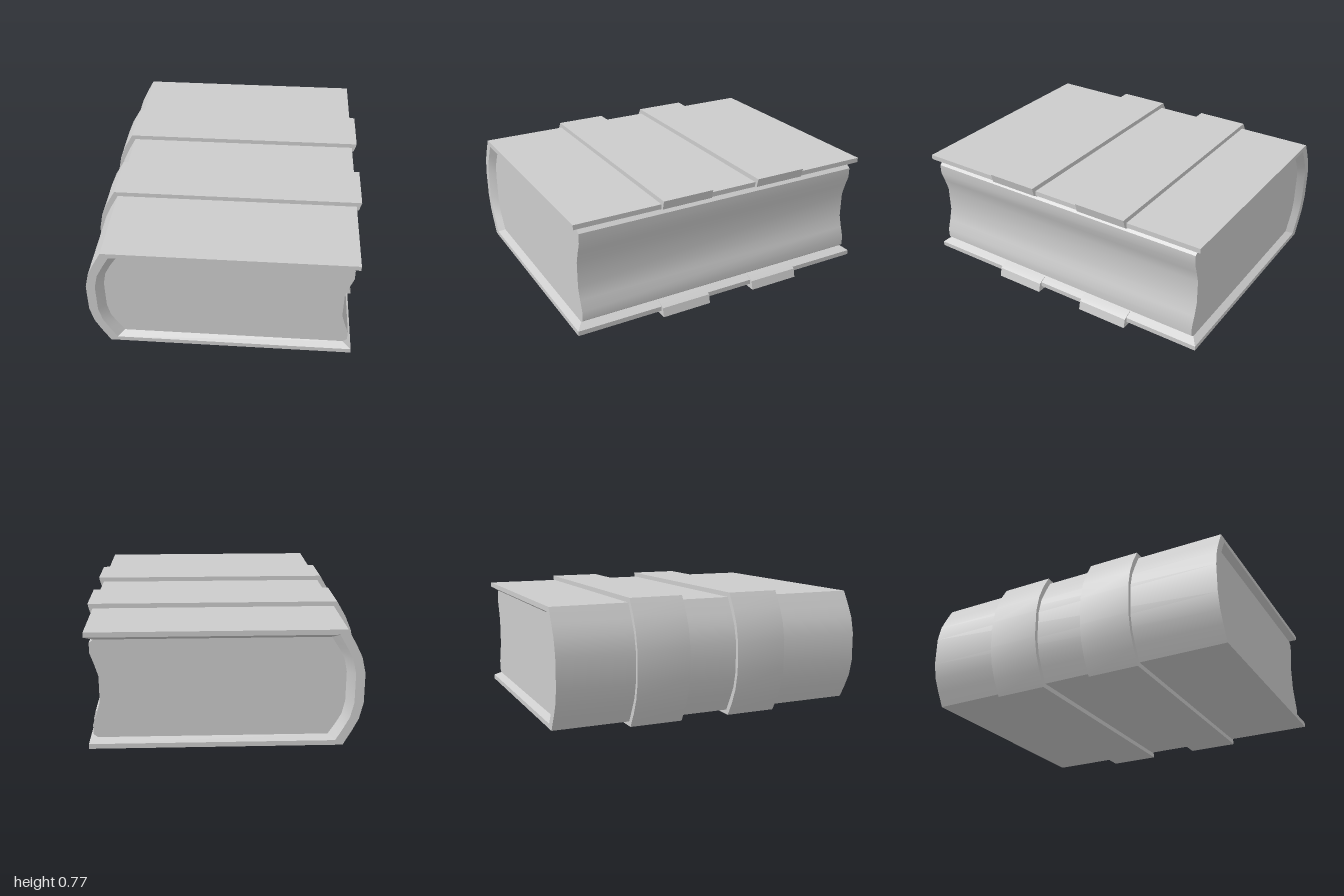
import * as THREE from 'three';
import { toCreasedNormals } from 'three/addons/utils/BufferGeometryUtils.js';

const MID = 0.384; // height of the book's plane of symmetry
const CREASE = 0.6;

// Upper half profile (x, height above the middle) mirrored to a full one
const mirror = (half) => [
  ...half.map(([x, h]) => [x, MID + h]),
  ...[...half].reverse().map(([x, h]) => [x, MID - h]),
];

// Profiles run from the top fore edge, round the spine, to the bottom fore edge
const outer = mirror([[0.79, 0.355], [-0.69, 0.355], [-0.74, 0.265], [-0.777, 0.19], [-0.8, 0.09]]);
const inner = mirror([[0.79, 0.325], [-0.645, 0.325], [-0.688, 0.25], [-0.725, 0.18], [-0.746, 0.09]]);
const pageBack = mirror([[0.74, 0.3], [-0.605, 0.3], [-0.648, 0.235], [-0.683, 0.17], [-0.7, 0.09]]);
const foreEdge = mirror([[0.765, 0.28], [0.765, 0.22], [0.742, 0.155], [0.72, 0.08]]).reverse();
const bandOuter = mirror([
  [0.75, 0.301], [0.785, 0.317], [0.806, 0.329], [0.82, 0.384],
  [-0.71, 0.384], [-0.765, 0.29], [-0.803, 0.2], [-0.826, 0.09],
]);
const bandInner = mirror([[0.76, 0.34], [-0.67, 0.34], [-0.71, 0.26], [-0.75, 0.185], [-0.773, 0.09]]);

const material = new THREE.MeshStandardMaterial({ color: 0xcccccc });

function addMesh(group, name, geometry) {
  const mesh = new THREE.Mesh(toCreasedNormals(geometry, CREASE), material);
  mesh.name = name;
  group.add(mesh);
}

// Prism of an outline between two depths
function prism(points, z0, z1) {
  const shape = new THREE.Shape(points.map(([x, y]) => new THREE.Vector2(x, y)));
  const geometry = new THREE.ExtrudeGeometry(shape, { depth: z1 - z0, bevelEnabled: false });
  geometry.translate(0, 0, z0);
  return geometry;
}

// Cover shell: outer skin, rim, and a bevel sloping in to the page block
function coverGeometry() {
  const rows = [
    [pageBack, -0.96], [inner, -1], [outer, -1],
    [outer, 1], [inner, 1], [pageBack, 0.96],
  ];
  const n = outer.length;
  const positions = rows.flatMap(([profile, z]) => profile.flatMap(([x, y]) => [x, y, z]));
  const index = [];
  const at = (row, i) => row * n + i;
  const quad = (a, b, c, d) => index.push(a, b, c, a, c, d);
  for (let r = 0; r < rows.length - 1; r++) {
    for (let i = 0; i < n - 1; i++) quad(at(r, i), at(r, i + 1), at(r + 1, i + 1), at(r + 1, i));
  }
  // Fore edges of the two boards
  for (const [a, b] of [[2, 3], [1, 4]]) {
    quad(at(a, 0), at(b, 0), at(b + 1, 0), at(a - 1, 0));
    quad(at(a - 1, n - 1), at(b + 1, n - 1), at(b, n - 1), at(a, n - 1));
  }
  const geometry = new THREE.BufferGeometry();
  geometry.setAttribute('position', new THREE.Float32BufferAttribute(positions, 3));
  geometry.setIndex(index);
  return geometry;
}

export function createModel() {
  const book = new THREE.Group();
  book.name = 'book';

  addMesh(book, 'cover', coverGeometry());
  addMesh(book, 'pages', prism([...pageBack, ...foreEdge], -0.96, 0.96));

  // Raised bands wrapping the cover
  const bandOutline = [...bandOuter, ...[...bandInner].reverse()];
  [['rearBand', -0.525, -0.19], ['frontBand', 0.13, 0.457]].forEach(([name, z0, z1]) => {
    addMesh(book, name, prism(bandOutline, z0, z1));
  });

  return book;
}
